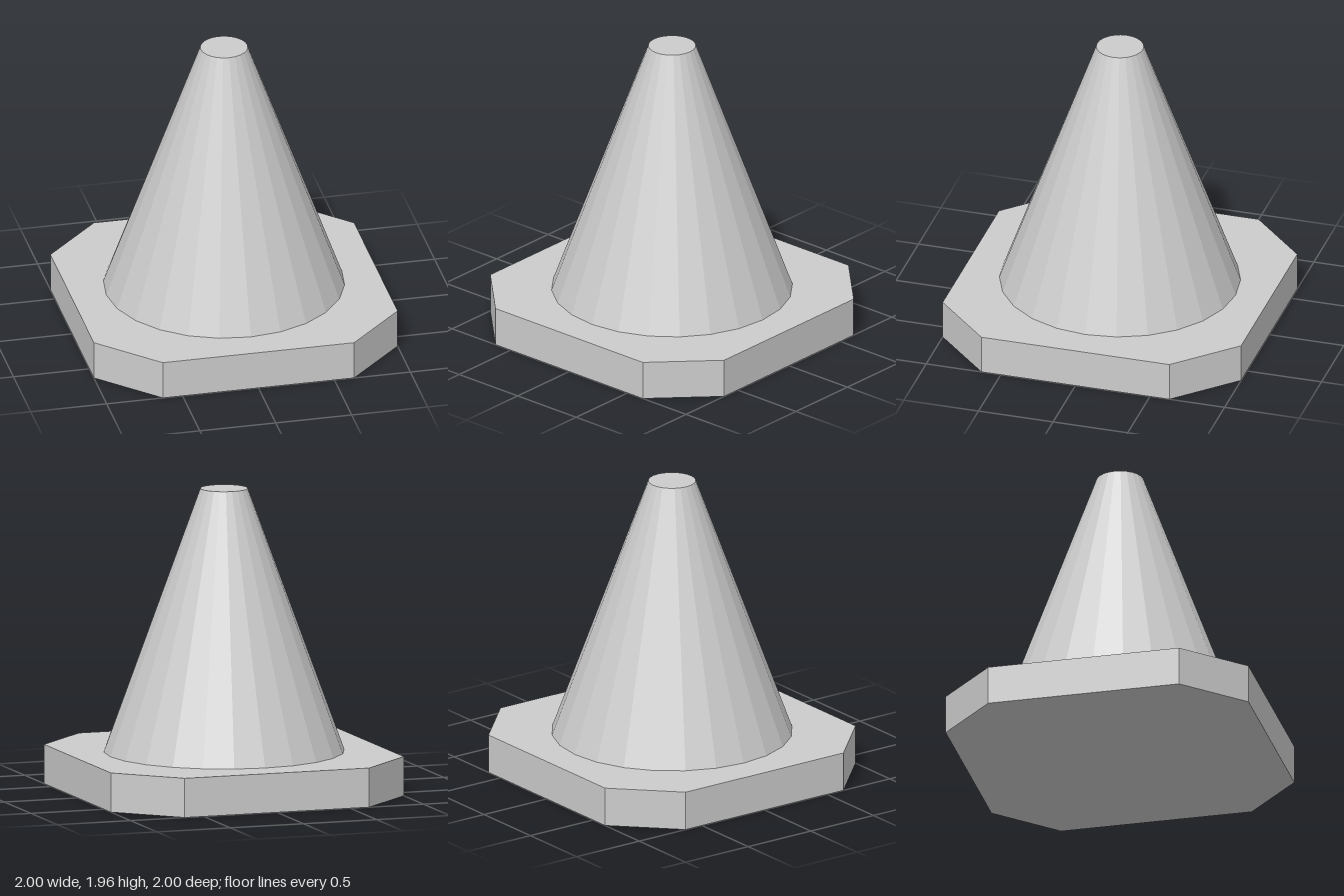
import * as THREE from 'three';

export function createModel() {
  const model = new THREE.Group();
  model.name = 'trafficCone';
  const grey = new THREE.MeshStandardMaterial({ color: 0xcccccc, flatShading: true });
  grey.name = 'lightGrey';

  const baseHeight = 0.255, totalHeight = 1.96;

  // Square base plate with cut corners
  const half = 1, cut = 0.63;
  const outline = new THREE.Shape([
    [cut, -half], [half, -cut], [half, cut], [cut, half],
    [-cut, half], [-half, cut], [-half, -cut], [-cut, -half],
  ].map(([x, y]) => new THREE.Vector2(x, y)));
  const baseGeometry = new THREE.ExtrudeGeometry(outline, { depth: baseHeight, bevelEnabled: false });
  baseGeometry.rotateX(-Math.PI / 2);
  const base = new THREE.Mesh(baseGeometry, grey);
  base.name = 'basePlate';
  model.add(base);

  // Tapered 24-sided body with a flat closed top
  const coneHeight = totalHeight - baseHeight;
  const cone = new THREE.Mesh(new THREE.CylinderGeometry(0.153, 0.775, coneHeight, 24), grey);
  cone.name = 'coneBody';
  cone.position.y = baseHeight + coneHeight / 2;
  model.add(cone);

  return model;
}
